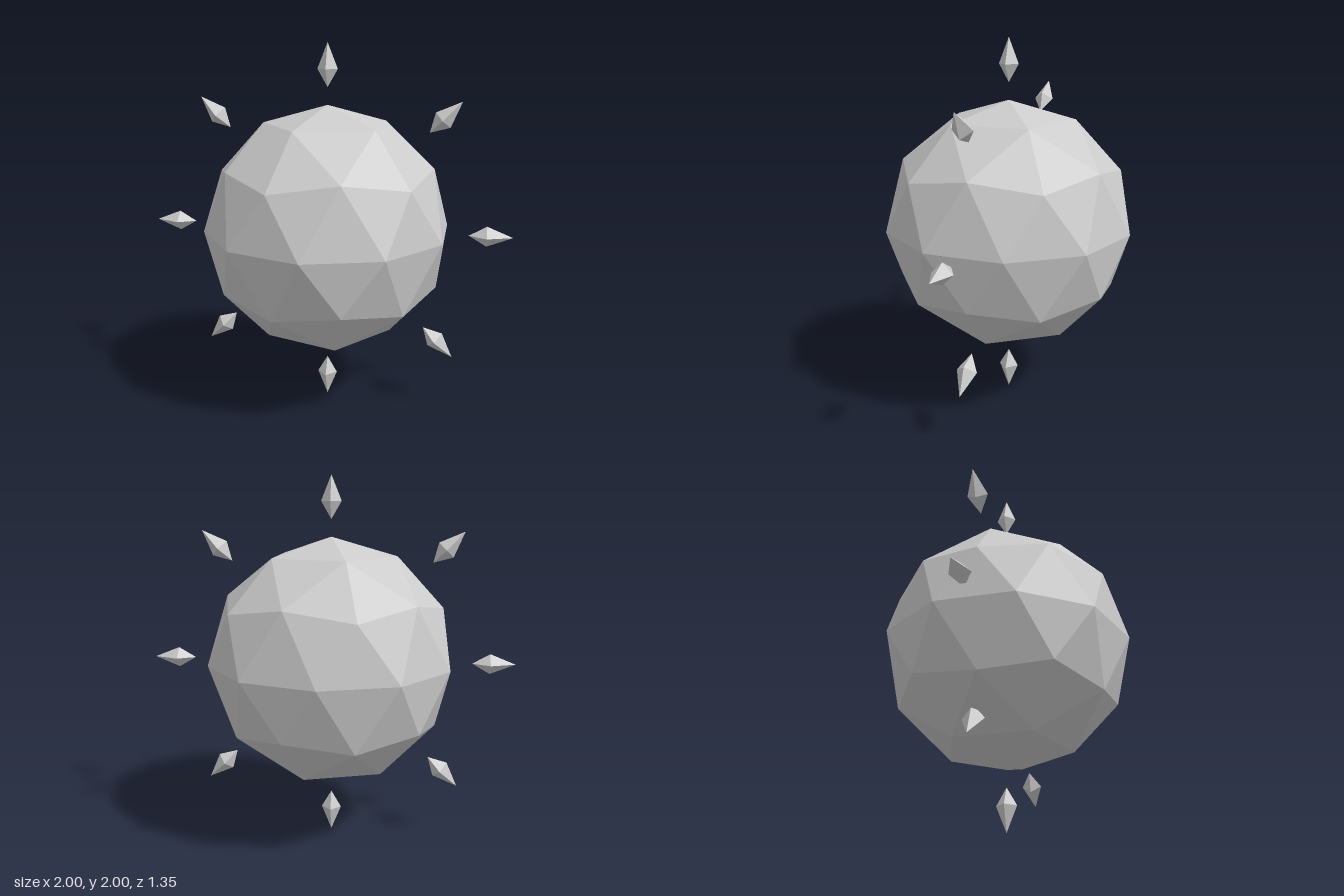
import * as THREE from 'three';

const CENTER_Y = 1;
const CORE_RADIUS = 0.676;
const SPIKE_COUNT = 8;

export function createModel() {
  const model = new THREE.Group();
  model.name = 'spikedOrb';
  const material = new THREE.MeshStandardMaterial({ color: 0xcccccc, flatShading: true });

  // Faceted core, turned so that one five-fold corner points straight up
  const coreGeometry = new THREE.IcosahedronGeometry(CORE_RADIUS, 1);
  coreGeometry.rotateZ(Math.atan2(1, (1 + Math.sqrt(5)) / 2));
  const core = new THREE.Mesh(coreGeometry, material);
  core.name = 'core';
  core.position.y = CENTER_Y;
  model.add(core);

  // Four-sided crystal spikes floating in an upright ring, long tips outward
  const spikeGeometry = new THREE.LatheGeometry([
    new THREE.Vector2(0, 0.768),
    new THREE.Vector2(0.055, 0.863),
    new THREE.Vector2(0, 1),
  ], 4);
  const ring = new THREE.Group();
  ring.name = 'spikeRing';
  ring.position.y = CENTER_Y;
  for (let i = 0; i < SPIKE_COUNT; i++) {
    const spike = new THREE.Mesh(spikeGeometry, material);
    spike.name = `spike${i + 1}`;
    spike.rotation.z = (i / SPIKE_COUNT) * Math.PI * 2;
    ring.add(spike);
  }
  model.add(ring);

  return model;
}
